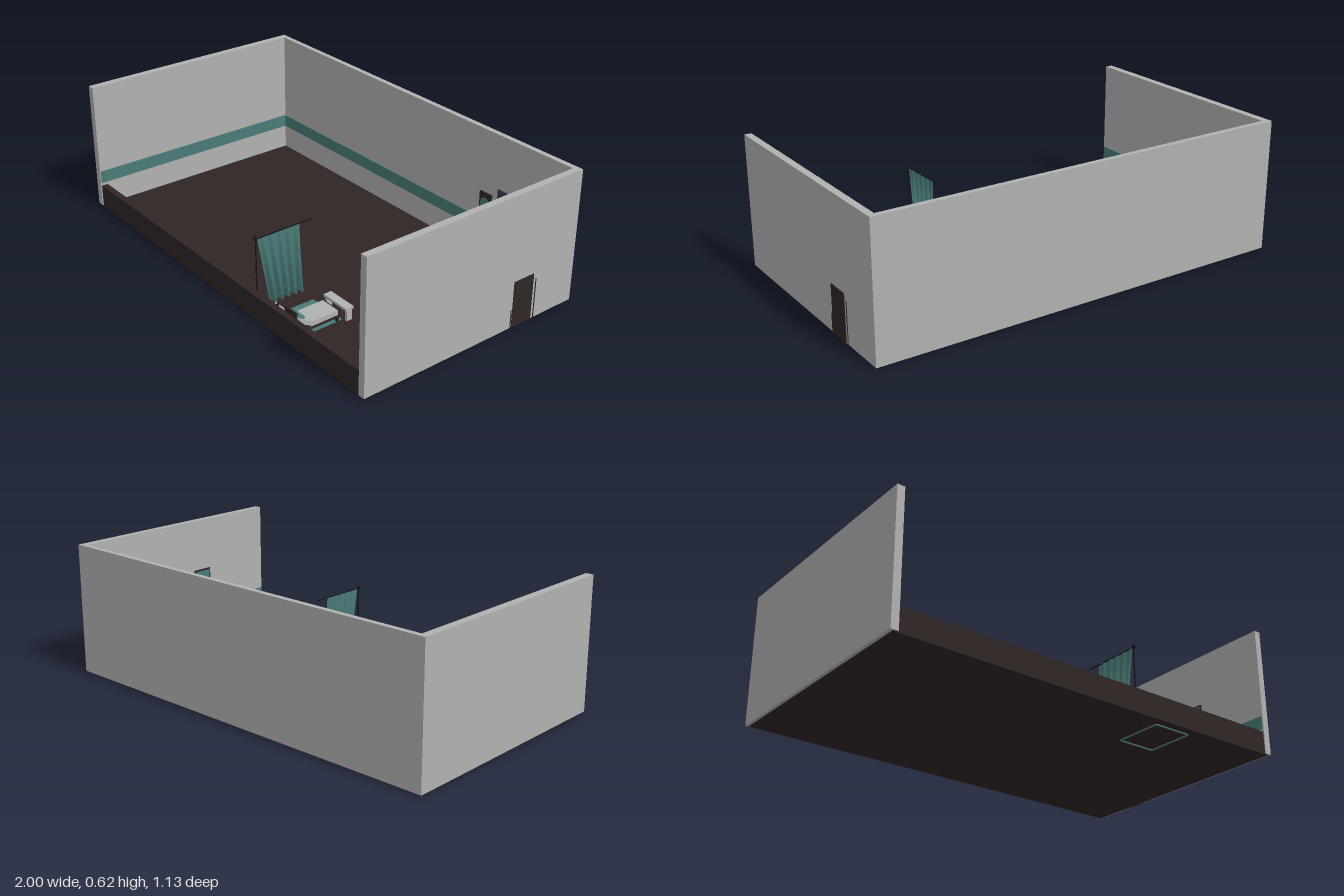
import * as THREE from 'three';

const mat = (name, color, double) => {
  const m = new THREE.MeshStandardMaterial({ color });
  m.name = name;
  if (double) m.side = THREE.DoubleSide;
  return m;
};

export function createModel() {
  const M = {
    wall: mat('pale grey', 0xb0b2b0),
    brown: mat('dark brown', 0x302525),
    teal: mat('teal', 0x4a7b78, true),
    purple: mat('purple', 0x3d3752),
    black: mat('near black', 0x141618),
  };
  const root = new THREE.Group();
  root.name = 'wardRoom';

  const add = (parent, name, geo, m, x = 0, y = 0, z = 0) => {
    const mesh = new THREE.Mesh(geo, m);
    mesh.name = name;
    mesh.position.set(x, y, z);
    parent.add(mesh);
    return mesh;
  };
  // box given by its minimum and maximum on each axis
  const box = (parent, name, m, x0, x1, y0, y1, z0, z1) =>
    add(parent, name, new THREE.BoxGeometry(x1 - x0, y1 - y0, z1 - z0), m,
      (x0 + x1) / 2, (y0 + y1) / 2, (z0 + z1) / 2);
  const group = (name, x = 0, y = 0, z = 0) => {
    const g = new THREE.Group();
    g.name = name;
    g.position.set(x, y, z);
    root.add(g);
    return g;
  };
  const rod = (parent, name, a, b, r, m) => {
    const p = new THREE.Vector3(...a), q = new THREE.Vector3(...b);
    const mesh = add(parent, name, new THREE.CylinderGeometry(r, r, p.distanceTo(q), 8), m);
    mesh.position.copy(p).lerp(q, 0.5);
    mesh.quaternion.setFromUnitVectors(new THREE.Vector3(0, 1, 0), q.sub(p).normalize());
    return mesh;
  };

  // Floor and walls
  const shell = group('room');
  box(shell, 'floor', M.brown, -0.985, 0.985, 0.005, 0.012, -0.555, 0.56);
  box(shell, 'backWall', M.wall, -1, 1, 0.01, 0.62, -0.565, -0.54);
  box(shell, 'rightWall', M.wall, -1, -0.965, 0.01, 0.62, -0.54, 0.565);
  box(shell, 'leftWall', M.wall, 0.968, 1, 0.01, 0.62, -0.54, 0.565);
  box(shell, 'frontLowWall', M.brown, -0.965, 0.968, 0.01, 0.115, 0.53, 0.56);

  // Painted wall stripe, interrupted by the door
  box(shell, 'backStripe', M.teal, -0.965, 0.968, 0.13, 0.19, -0.541, -0.536);
  box(shell, 'rightStripe', M.teal, -0.966, -0.961, 0.13, 0.19, -0.536, 0.56);
  box(shell, 'leftStripeRear', M.teal, 0.964, 0.969, 0.13, 0.19, -0.536, -0.345);
  box(shell, 'leftStripeFront', M.teal, 0.964, 0.969, 0.13, 0.19, -0.2, 0.56);

  // Door going through the side wall, with thin edge strips
  box(shell, 'door', M.brown, 0.963, 1.002, 0.01, 0.225, -0.325, -0.213);
  box(shell, 'doorStripTall', M.brown, 0.963, 1.002, 0.01, 0.197, -0.342, -0.338);
  box(shell, 'doorStripShort', M.brown, 0.963, 1.002, 0.01, 0.095, -0.209, -0.205);

  // Posters on the back wall
  const posters = group('posters');
  box(posters, 'darkPoster', M.brown, 0.475, 0.545, 0.21, 0.325, -0.541, -0.533);
  const oval = add(posters, 'posterOval', new THREE.CircleGeometry(0.03, 20), M.teal, 0.51, 0.263, -0.5325);
  oval.scale.y = 1.3;
  box(posters, 'purplePoster', M.purple, 0.58, 0.68, 0.21, 0.37, -0.541, -0.533);
  [[0.635, 0.34, 0.4], [0.648, 0.328, -0.3], [0.638, 0.32, 0.9], [0.655, 0.34, 0.1]].forEach(([x, y, a]) => {
    add(posters, 'posterMark', new THREE.PlaneGeometry(0.016, 0.011), M.wall, x, y, -0.5325).rotation.z = a;
  });
  box(posters, 'tealPoster', M.teal, 0.735, 0.805, 0.21, 0.325, -0.541, -0.533);

  // Posters on the side wall
  box(posters, 'sideDarkPoster', M.brown, 0.961, 0.969, 0.21, 0.37, -0.11, 0);
  box(posters, 'sidePosterFrame', M.brown, 0.962, 0.969, 0.21, 0.37, 0.1, 0.2);
  box(posters, 'sideTealPoster', M.teal, 0.96, 0.963, 0.218, 0.362, 0.107, 0.193);

  // Privacy curtain hanging from a rail
  const screen = group('curtainScreen');
  rod(screen, 'curtainRail', [0.24, 0.335, 0.22], [0.24, 0.335, 0.512], 0.003, M.black);
  rod(screen, 'curtainPole', [0.24, 0.005, 0.508], [0.24, 0.335, 0.508], 0.003, M.black);
  add(screen, 'railEnd', new THREE.SphereGeometry(0.009, 12, 8), M.black, 0.24, 0.338, 0.51);
  rod(screen, 'poleFoot', [0.225, 0.005, 0.508], [0.27, 0.005, 0.508], 0.004, M.black);
  const cloth = new THREE.PlaneGeometry(1, 1, 48, 10);
  const cp = cloth.attributes.position;
  for (let i = 0; i < cp.count; i++) {
    const u = cp.getX(i) + 0.5, d = 0.5 - cp.getY(i);
    const wave = Math.sin(u * Math.PI * 10) * (0.003 + 0.015 * d);
    cp.setXYZ(i, 0.24 + wave + 0.005 * d, 0.333 - 0.325 * d, 0.285 + u * (0.215 - 0.045 * d) - 0.01 * d);
  }
  cloth.computeVertexNormals();
  add(screen, 'curtain', cloth, M.teal);

  // Bedside rug with a thicker border
  const rug = group('rug');
  const roundRect = (C, w, h, r) => {
    const s = new C();
    s.absarc(w - r, h - r, r, 0, Math.PI / 2);
    s.absarc(r - w, h - r, r, Math.PI / 2, Math.PI);
    s.absarc(r - w, r - h, r, Math.PI, Math.PI * 1.5);
    s.absarc(w - r, r - h, r, Math.PI * 1.5, Math.PI * 2);
    return s;
  };
  const border = roundRect(THREE.Shape, 0.097, 0.115, 0.01);
  border.holes.push(roundRect(THREE.Path, 0.091, 0.109, 0.008));
  const rim = new THREE.ExtrudeGeometry(border, { depth: 0.015, bevelEnabled: false, curveSegments: 5 });
  add(rug, 'rugBorder', rim.rotateX(-Math.PI / 2), M.teal, 0.437, 0, 0.405);
  box(rug, 'rugPile', M.teal, 0.342, 0.532, 0.0125, 0.0145, 0.292, 0.518);

  // Bed with raised head section
  const bed = group('bed');
  box(bed, 'bedFrame', M.brown, 0.427, 0.538, 0.033, 0.042, 0.305, 0.515);
  for (const x of [0.435, 0.53]) for (const z of [0.315, 0.505])
    box(bed, 'bedLeg', M.black, x - 0.005, x + 0.005, 0.012, 0.034, z - 0.005, z + 0.005);
  box(bed, 'mattress', M.wall, 0.432, 0.533, 0.042, 0.064, 0.312, 0.45);
  const head = add(bed, 'raisedHead', new THREE.BoxGeometry(0.101, 0.02, 0.075), M.wall, 0.4825, 0.072, 0.476);
  head.rotation.x = -0.5;
  [[0.46, 0.25], [0.503, -0.25]].forEach(([x, a]) => {
    const p = add(bed, 'pillow', new THREE.SphereGeometry(1, 14, 8), M.teal, x, 0.091, 0.482);
    p.scale.set(0.024, 0.008, 0.018);
    p.rotation.set(-0.5, a, 0);
  });
  box(bed, 'headboard', M.brown, 0.445, 0.52, 0.04, 0.122, 0.509, 0.516);
  box(bed, 'footboard', M.brown, 0.43, 0.535, 0.033, 0.062, 0.305, 0.311);

  // Over-bed table
  const tray = group('overbedTable');
  box(tray, 'trayTop', M.wall, 0.41, 0.558, 0.062, 0.074, 0.25, 0.29);
  for (const x of [0.418, 0.55]) box(tray, 'trayLeg', M.wall, x - 0.006, x + 0.006, 0.012, 0.062, 0.256, 0.284);

  // Bedside cabinet with a small lamp
  const cabinet = group('bedsideCabinet');
  box(cabinet, 'cabinetBody', M.wall, 0.337, 0.385, 0.012, 0.065, 0.475, 0.523);
  add(cabinet, 'lampBase', new THREE.CylinderGeometry(0.012, 0.013, 0.02, 16), M.black, 0.361, 0.075, 0.499);
  add(cabinet, 'lampTop', new THREE.CylinderGeometry(0.005, 0.005, 0.004, 12), M.wall, 0.361, 0.087, 0.499);

  // Long table with small instruments
  const table = group('longTable');
  box(table, 'tableEdge', M.wall, 0.778, 0.94, 0.068, 0.08, -0.055, 0.288);
  box(table, 'tableTop', M.wall, 0.784, 0.934, 0.08, 0.082, -0.049, 0.282);
  for (const x of [0.79, 0.928]) for (const z of [-0.043, 0.276])
    box(table, 'tableLeg', M.wall, x - 0.006, x + 0.006, 0.012, 0.068, z - 0.006, z + 0.006);
  [[0.88, 0.1, 0.018], [0.9, -0.02, 0.011], [0.895, 0.015, 0.009], [0.845, 0.01, 0.006], [0.845, 0.03, 0.006]]
    .forEach(([x, z, r]) => {
      add(table, 'dish', new THREE.TorusGeometry(r, 0.002, 6, 20), M.black, x, 0.084, z).rotation.x = Math.PI / 2;
    });
  rod(table, 'instrument', [0.86, 0.084, 0.165], [0.88, 0.084, 0.125], 0.0025, M.black);
  rod(table, 'instrument', [0.885, 0.084, 0.045], [0.905, 0.084, 0.035], 0.0025, M.black);

  // Chair in the corner
  const chair = group('chair', 0.843, 0, -0.457);
  chair.rotation.y = -0.2;
  box(chair, 'chairSeat', M.teal, -0.025, 0.025, 0.045, 0.055, -0.025, 0.025);
  box(chair, 'chairBack', M.teal, -0.025, 0.025, 0.055, 0.11, -0.027, -0.02);
  for (const x of [-0.021, 0.021]) for (const z of [-0.021, 0.021])
    box(chair, 'chairLeg', M.black, x - 0.003, x + 0.003, 0.012, 0.045, z - 0.003, z + 0.003);

  // Potted plant with arching leaves
  const plant = group('plant', 0.922, 0, -0.498);
  add(plant, 'pot', new THREE.CylinderGeometry(0.021, 0.016, 0.05, 16), M.brown, 0, 0.037, 0);
  for (let k = 0; k < 9; k++) {
    const leaf = new THREE.PlaneGeometry(1, 1, 2, 8);
    const lp = leaf.attributes.position, rise = 0.08 + 0.025 * (k % 3), reach = 0.046 - 0.006 * (k % 3);
    for (let i = 0; i < lp.count; i++) {
      const t = lp.getY(i) + 0.5, w = lp.getX(i) * 0.018 * Math.sin(Math.PI * (0.08 + 0.92 * t));
      lp.setXYZ(i, t * t * reach, 0.06 + rise * Math.sin(t * 2.1), w);
    }
    leaf.computeVertexNormals();
    add(plant, 'leaf', leaf, M.teal).rotation.y = k * 2.4;
  }
  return root;
}
